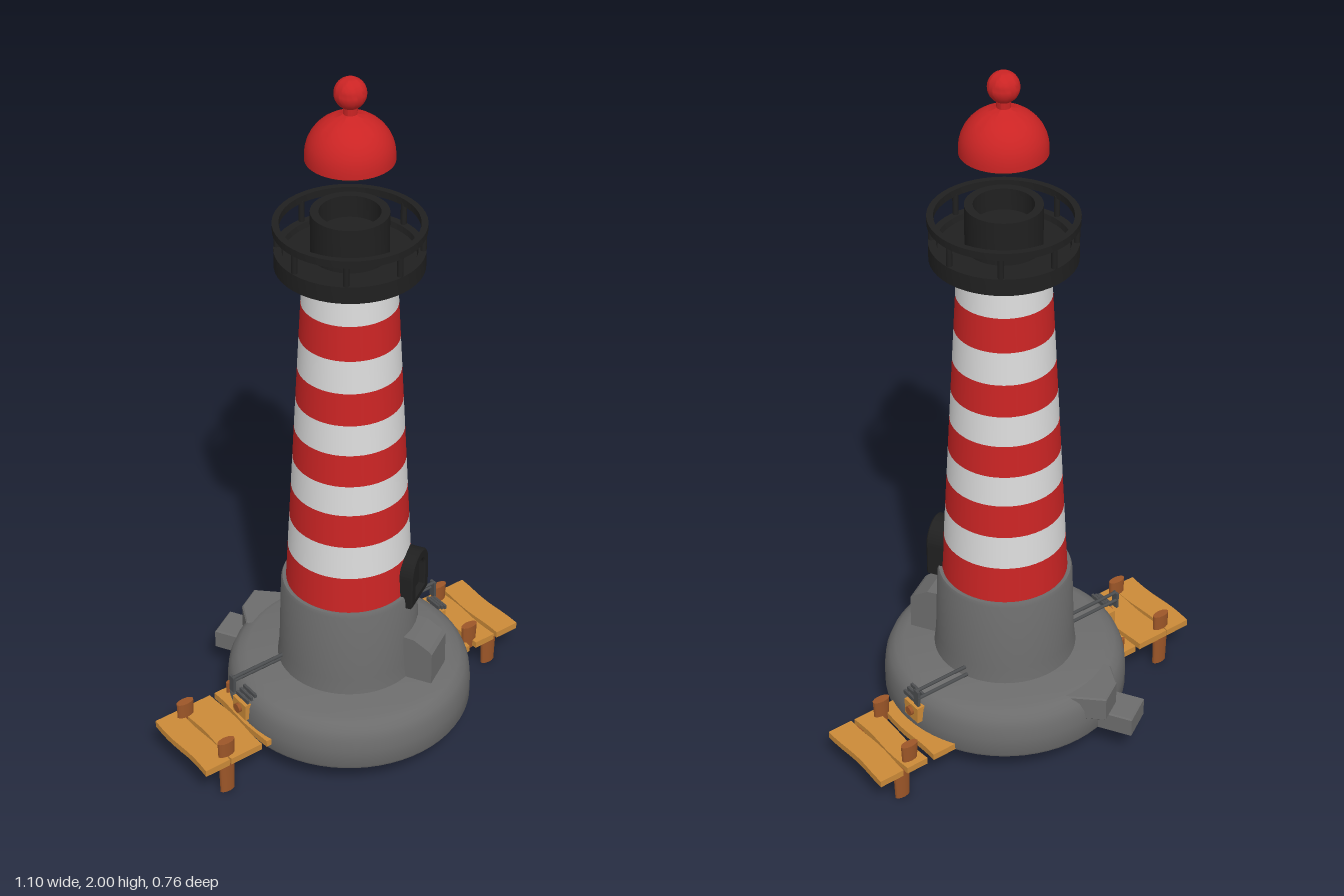
import * as THREE from 'three';
import { toCreasedNormals } from 'three/addons/utils/BufferGeometryUtils.js';

const mat = (name, color, side = THREE.FrontSide) => {
  const m = new THREE.MeshStandardMaterial({ color, side });
  m.name = name;
  return m;
};

export function createModel() {
  const red = mat('red paint', 0xcb2424);
  const white = mat('white paint', 0xdcdcdc);
  const stone = mat('grey stone', 0x6c6c6c);
  const black = mat('black iron', 0x202020);
  const steel = mat('dark steel', 0x4c4e50);
  const wood = mat('light wood', 0xcb8a38);
  const brown = mat('brown wood', 0x9c5628);
  const yellow = mat('yellow ring', 0xe8cc1c);

  const model = new THREE.Group();
  const tower = new THREE.Group(); // everything on the tower axis
  tower.name = 'tower';
  tower.position.z = 0.036;
  model.add(tower);

  const add = (parent, name, geo, material, x = 0, y = 0, z = 0) => {
    const m = new THREE.Mesh(geo, material);
    m.name = name;
    m.position.set(x, y, z);
    parent.add(m);
    return m;
  };
  const lathe = (pts, seg = 48) => toCreasedNormals(
    new THREE.LatheGeometry(pts.map(p => new THREE.Vector2(...p)), seg), 0.6);
  const box = (parent, name, material, w, h, d, x, y, z) =>
    add(parent, name, new THREE.BoxGeometry(w, h, d), material, x, y, z);
  const shape = pts => new THREE.Shape(pts.map(p => new THREE.Vector2(...p)));
  const extrude = (s, depth, bevel = 0) => new THREE.ExtrudeGeometry(s, {
    depth, bevelEnabled: bevel > 0, bevelSize: bevel, bevelThickness: bevel, bevelSegments: 1, curveSegments: 10 });

  // Round stone base and plinth
  add(tower, 'base', lathe([[0, 0.09], [0.337, 0.09], [0.342, 0.1], [0.342, 0.15], [0.338, 0.185],
    [0.328, 0.21], [0.31, 0.227], [0.285, 0.235], [0, 0.235]], 64), stone);
  add(tower, 'plinth', lathe([[0.2, 0.23], [0.194, 0.28], [0.187, 0.49], [0.183, 0.5], [0, 0.5]]), stone);

  // Striped shaft
  const levels = [0.5, 0.61, 0.71, 0.81, 0.9, 0.995, 1.085, 1.18, 1.275, 1.375, 1.465];
  const radius = y => 0.173 - (y - 0.5) * 0.054;
  for (let i = 0; i < levels.length - 1; i++) {
    const [a, b] = [levels[i], levels[i + 1]];
    add(tower, i % 2 ? 'whiteStripe' : 'redStripe',
      new THREE.CylinderGeometry(radius(b), radius(a), b - a, 48, 1, true),
      i % 2 ? white : red, 0, (a + b) / 2, 0);
  }

  // Gallery with rail, posts and hollow lantern drum
  add(tower, 'gallery', lathe([[0, 1.455], [0.12, 1.455], [0.135, 1.463], [0.165, 1.48], [0.192, 1.483],
    [0.192, 1.53], [0.172, 1.53], [0.168, 1.515], [0, 1.515]]), black);
  add(tower, 'lanternDrum', lathe([[0.1, 1.51], [0.1, 1.635], [0.078, 1.635], [0.078, 1.575], [0, 1.575]]), black);
  add(tower, 'galleryRail', lathe([[0.178, 1.585], [0.195, 1.585], [0.195, 1.605], [0.178, 1.605], [0.178, 1.585]]), black);
  for (let i = 0; i < 8; i++) {
    const a = 0.09 + i * Math.PI / 4;
    add(tower, 'railPost', new THREE.CylinderGeometry(0.008, 0.008, 0.07, 8), black,
      Math.sin(a) * 0.184, 1.555, Math.cos(a) * 0.184);
  }

  // Hollow dome with neck and ball, and the seat ring beneath it
  const dome = [[0.09, 1.782], [0.113, 1.782], [0.113, 1.795]];
  for (let i = 1; i <= 8; i++) {
    const a = i / 8 * 1.37;
    dome.push([0.113 * Math.cos(a), 1.795 + 0.108 * Math.sin(a)]);
  }
  dome.push([0.018, 1.905], [0.018, 1.925]);
  for (let i = 0; i <= 12; i++) {
    const a = -1.05 + i / 12 * (Math.PI / 2 + 1.05);
    dome.push([Math.max(0, 0.041 * Math.cos(a)), 1.959 + 0.041 * Math.sin(a)]);
  }
  add(tower, 'domeCap', lathe(dome), red);
  add(tower, 'domeInside', lathe([[0, 1.87], [0.05, 1.86], [0.08, 1.83], [0.09, 1.782]]), red);
  add(tower, 'domeSeat', lathe([[0.084, 1.79], [0.084, 1.77], [0.095, 1.77], [0.095, 1.79]]), black);

  // Arched doorway and the buttress below it
  const entrance = new THREE.Group();
  entrance.name = 'entrance';
  entrance.rotation.y = Math.PI / 6;
  tower.add(entrance);
  const arch = (Kind, w, y0, top) => {
    const s = new Kind();
    s.moveTo(-w, y0);
    s.lineTo(w, y0);
    s.lineTo(w, top - w);
    s.absarc(0, top - w, w, 0, Math.PI, false);
    s.lineTo(-w, y0);
    return s;
  };
  const frame = arch(THREE.Shape, 0.056, 0.469, 0.616);
  frame.holes.push(arch(THREE.Path, 0.036, 0.485, 0.594));
  add(entrance, 'doorFrame', extrude(frame, 0.05, 0.004), black, 0.02, 0, 0.148);
  add(entrance, 'door', extrude(arch(THREE.Shape, 0.045, 0.475, 0.605), 0.035), black, 0.02, 0, 0.15);
  const buttress = extrude(shape([[0.15, 0.22], [0.268, 0.22], [0.268, 0.335], [0.258, 0.345],
    [0.215, 0.37], [0.15, 0.375]]), 0.104);
  buttress.rotateY(-Math.PI / 2).translate(0.052, 0, 0);
  add(entrance, 'buttress', buttress, stone);

  // Stone steps at the back
  const steps = new THREE.Group();
  steps.name = 'backSteps';
  steps.rotation.y = Math.PI * 7 / 6;
  tower.add(steps);
  const slab = (name, pts, y0, h) => {
    const g = extrude(shape(pts), h - 0.008, 0.004);
    g.rotateX(Math.PI / 2).translate(0, y0 + h - 0.004, 0);
    add(steps, name, g, stone);
  };
  slab('lowerStep', [[-0.103, 0.25], [-0.011, 0.25], [-0.011, 0.419], [-0.103, 0.419]], 0.092, 0.062);
  slab('upperStep', [[-0.165, 0.25], [0, 0.25], [0, 0.315], [-0.058, 0.354], [-0.135, 0.354]], 0.155, 0.076);

  // Jetties on both sides, with softly wavy planks
  const plank = (x0, x1, y, k) => {
    const g = new THREE.BoxGeometry(x1 - x0, 0.02, 0.252, 1, 1, 8);
    const p = g.attributes.position;
    for (let i = 0; i < p.count; i++) p.setX(i, p.getX(i) + 0.003 * Math.sin(p.getZ(i) * 28 + k));
    g.computeVertexNormals();
    add(model, 'plank', g, wood, (x0 + x1) / 2, y, -0.003);
  };
  [[-0.545, -0.467], [-0.461, -0.36], [-0.349, -0.29]].forEach(([a, b], i) => plank(a, b, 0.123, i * 2));
  [[0.29, 0.374], [0.394, 0.461], [0.47, 0.545]].forEach(([a, b], i) => plank(a, b, 0.105, i * 2 + 1));
  const pile = (x, z, y0, y1, r = 0.027) => {
    const m = add(model, 'pile', new THREE.CylinderGeometry(r, r * 0.85, y1 - y0, 12), brown, x, (y0 + y1) / 2, z);
    m.scale.z = 0.48;
  };
  for (const z of [-0.103, 0.097]) {
    pile(-0.462, z, 0.005, 0.18);
    pile(0.462, z, 0, 0.1);
    for (const x of [-0.107, 0.104]) pile(x, z, 0.01, 0.1, 0.024);
  }
  pile(0.432, -0.1, 0.09, 0.168);
  pile(0.388, 0.097, 0.09, 0.168);
  pile(-0.305, -0.11, 0.11, 0.168, 0.015);

  // Handrails over the base, each with an end bracket and a wooden block
  for (const s of [-1, 1]) {
    for (const [y, z] of [[0.262, -0.025], [0.242, -0.034]]) {
      const rod = add(model, 'handrail', new THREE.CylinderGeometry(0.005, 0.005, 0.17, 8), steel, s * 0.27, y, z);
      rod.rotation.z = Math.PI / 2;
    }
    box(model, 'railEnd', steel, 0.008, 0.05, 0.02, s * 0.352, 0.24, -0.028);
    for (let i = 0; i < 3; i++) {
      box(model, 'bracketBar', steel, 0.007, 0.012, 0.055, s * (0.322 + i * 0.012), 0.225 - i * 0.005, 0.012);
    }
    box(model, 'mooringBlock', wood, 0.035, 0.05, 0.06, s * 0.335, 0.172, 0.002);
    const peg = add(model, 'mooringPeg', new THREE.CylinderGeometry(0.014, 0.014, 0.03, 12), brown, s * 0.347, 0.176, 0.002);
    peg.rotation.z = Math.PI / 2;
  }

  // Yellow ring under the base
  add(model, 'underRing', lathe([[0.078, 0.095], [0.078, 0.062], [0.091, 0.062], [0.091, 0.095]]), yellow);

  return model;
}
